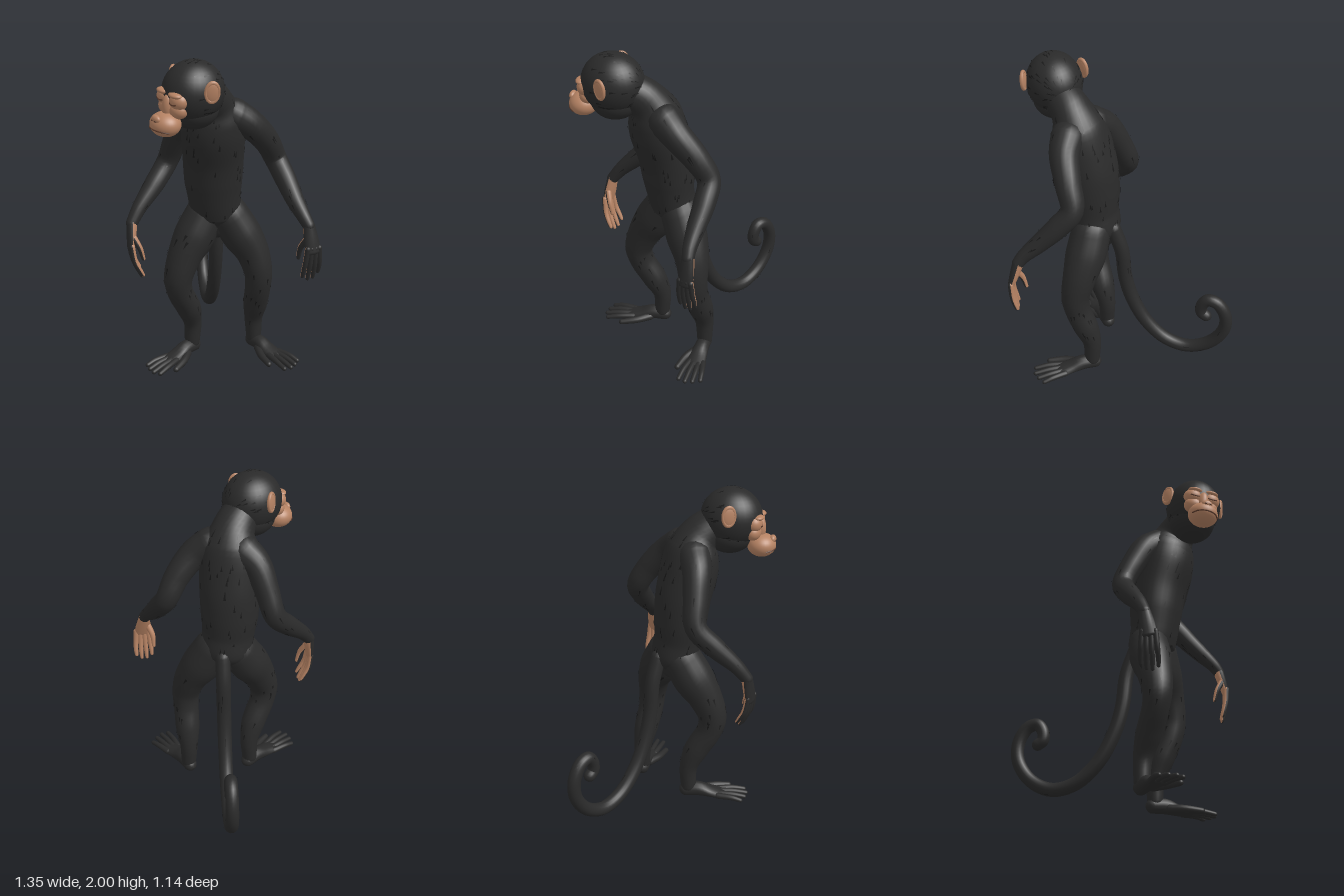
import * as THREE from 'three';

const mat = (name, color) => Object.assign(new THREE.MeshStandardMaterial({ color }), { name });
const fur = mat('black fur', 0x2a2a2a);
const tuftFur = mat('dark fur tufts', 0x191919);
tuftFur.side = THREE.DoubleSide;
const skin = mat('tan skin', 0xb58263);
const crease = mat('skin creases', 0x5a3a2b);

const V = (x, y, z) => new THREE.Vector3(x, y, z);
const FACING = V(0.6, 0, 0.8);
let seed = 7;
const rand = () => (seed = (seed * 16807) % 2147483647) / 2147483647;

// Round-ended tube through [x, y, z, a, b]; a is the half size along ref, b across it.
// With a palm material, the half facing ref takes that colour.
function sweep(name, pts, { ref = FACING, palm = null, sides = 18, steps = 5 } = {}) {
  const path = new THREE.CatmullRomCurve3(pts.map(p => V(p[0], p[1], p[2])));
  const size = new THREE.CatmullRomCurve3(pts.map(p => V(p[3], p[4] ?? p[3], 0)));
  const surface = (s, th, lift = 0, cap = 0) => {
    const t = path.getTangent(s), r = size.getPoint(s);
    const u = ref.clone().addScaledVector(t, -ref.dot(t)).normalize();
    const v = t.clone().cross(u), k = Math.max(Math.cos(cap), 0.02);
    return path.getPoint(s)
      .addScaledVector(u, (r.x + lift) * k * Math.cos(th))
      .addScaledVector(v, (r.y + lift) * k * Math.sin(th))
      .addScaledVector(t, Math.min(r.x, r.y) * Math.sin(cap));
  };
  const rings = [], n = (pts.length - 1) * steps;
  for (const c of [90, 65, 42, 20]) rings.push([0, -c * Math.PI / 180]);
  for (let i = 0; i <= n; i++) rings.push([i / n, 0]);
  for (const c of [20, 42, 65, 90]) rings.push([1, c * Math.PI / 180]);
  const pos = [], main = [], under = [];
  rings.forEach(([s, cap], i) => {
    for (let j = 0; j < sides; j++) {
      pos.push(...surface(s, j / sides * Math.PI * 2, 0, cap).toArray());
      if (i === rings.length - 1) continue;
      const a = i * sides + j, b = i * sides + (j + 1) % sides;
      const list = palm && Math.cos((j + 0.5) / sides * Math.PI * 2) > 0 ? under : main;
      list.push(a, b, b + sides, a, b + sides, a + sides);
    }
  });
  const g = new THREE.BufferGeometry();
  g.setAttribute('position', new THREE.Float32BufferAttribute(pos, 3));
  g.setIndex([...main, ...under]);
  g.addGroup(0, main.length, 0);
  if (palm) g.addGroup(main.length, under.length, 1);
  g.computeVertexNormals();
  const mesh = new THREE.Mesh(g, palm ? [fur, palm] : fur);
  mesh.name = name;
  return { mesh, surface };
}

// Thin tapering fur tufts scattered over a surface
function tufts(name, surface, count, ds, dth, from = 0.05, to = 0.9) {
  const pos = [];
  for (let i = 0; i < count; i++) {
    const s = from + rand() * (to - from - ds), th = rand() * Math.PI * 2;
    for (const [p, q] of [[s, th - dth], [s, th + dth], [s + ds, th + dth * 0.6]]) {
      pos.push(...surface(p, q, 0.004).toArray());
    }
  }
  const g = new THREE.BufferGeometry();
  g.setAttribute('position', new THREE.Float32BufferAttribute(pos, 3));
  g.computeVertexNormals();
  const mesh = new THREE.Mesh(g, tuftFur);
  mesh.name = name;
  return mesh;
}

function ellipsoid(name, m, center, radii) {
  const mesh = new THREE.Mesh(new THREE.SphereGeometry(1, 32, 22), m);
  mesh.name = name;
  mesh.position.set(...center);
  mesh.scale.set(...radii);
  return mesh;
}

function line(name, points, r = 0.004) {
  const curve = new THREE.CatmullRomCurve3(points);
  const mesh = new THREE.Mesh(new THREE.TubeGeometry(curve, 16, r, 6), crease);
  mesh.name = name;
  return mesh;
}

// Palm, four curled fingers and a thumb
function hand(name, wrist, knuckle, palmDir, spread, curl) {
  const group = new THREE.Group();
  group.name = name;
  const opts = { ref: palmDir, palm: skin, sides: 12, steps: 4 };
  const mid = wrist.clone().lerp(knuckle, 0.55);
  group.add(sweep('palm', [
    [...wrist.toArray(), 0.034, 0.037], [...mid.toArray(), 0.028, 0.048], [...knuckle.toArray(), 0.02, 0.05],
  ], opts).mesh);
  const at = (p, side, down, inward) =>
    p.clone().addScaledVector(spread, side).addScaledVector(palmDir, inward).add(V(0, -down, 0)).toArray();
  for (let i = 0; i < 4; i++) {
    const k = i - 1.5, len = [0.15, 0.18, 0.185, 0.165][i];
    group.add(sweep('finger', [
      [...at(knuckle, k * 0.025, -0.02, 0), 0.017], [...at(knuckle, k * 0.031, len * 0.45, curl * 0.25), 0.016],
      [...at(knuckle, k * 0.034, len * 0.8, curl * 0.7), 0.014], [...at(knuckle, k * 0.034, len, curl), 0.011],
    ], opts).mesh);
  }
  group.add(sweep('thumb', [
    [...at(mid, 0.03, 0, 0.01), 0.02], [...at(mid, 0.05, 0.06, 0.04), 0.017], [...at(mid, 0.05, 0.13, 0.06), 0.012],
  ], opts).mesh);
  return group;
}

// Flat foot with four toes and a splayed big toe
function foot(name, ankle, fwd, inner) {
  const group = new THREE.Group();
  group.name = name;
  const opts = { ref: V(0, -1, 0), sides: 14, steps: 4 };
  const at = (f, side, y) => [ankle.x + fwd.x * f + inner.x * side, y, ankle.z + fwd.z * f + inner.z * side];
  group.add(sweep('sole', [
    [...at(-0.015, 0, 0.05), 0.045, 0.044], [...at(0.06, 0, 0.055), 0.047, 0.046],
    [...at(0.14, 0, 0.038), 0.032, 0.055], [...at(0.22, -0.005, 0.026), 0.02, 0.06],
  ], opts).mesh);
  for (let i = 0; i < 4; i++) {
    const side = (i - 1.5) * 0.034 - 0.005, tip = [0.335, 0.36, 0.372, 0.36][i];
    group.add(sweep('toe', [
      [...at(0.19, side * 0.8, 0.03), 0.02], [...at(0.28, side * 1.15, 0.03), 0.017], [...at(tip, side * 1.3, 0.018), 0.014],
    ], opts).mesh);
  }
  group.add(sweep('bigToe', [
    [...at(0.08, 0.03, 0.035), 0.027], [...at(0.16, 0.075, 0.03), 0.023], [...at(0.26, 0.1, 0.02), 0.018],
  ], opts).mesh);
  return group;
}

function head() {
  const g = new THREE.Group();
  g.name = 'head';
  const R = [0.165, 0.18, 0.185];
  g.add(ellipsoid('cranium', fur, [0, 0, 0], R), ellipsoid('jaw', fur, [0, -0.1, -0.01], [0.138, 0.115, 0.145]));
  g.add(ellipsoid('muzzle', skin, [0, -0.155, 0.185], [0.092, 0.07, 0.086]));
  g.add(ellipsoid('noseBridge', skin, [0, -0.055, 0.175], [0.032, 0.07, 0.032]));
  g.add(ellipsoid('nose', skin, [0, -0.115, 0.25], [0.034, 0.024, 0.02]));
  for (const s of [-1, 1]) {
    g.add(ellipsoid('eyeSocket', skin, [s * 0.055, -0.015, 0.14], [0.06, 0.052, 0.052]));
    g.add(ellipsoid('cheek', skin, [s * 0.045, -0.07, 0.135], [0.062, 0.05, 0.05]));
    g.add(ellipsoid('brow', skin, [s * 0.052, 0.02, 0.165], [0.046, 0.017, 0.034]));
    g.add(ellipsoid('nostril', crease, [s * 0.014, -0.122, 0.267], [0.007, 0.005, 0.004]));
    // Closed eyelid
    g.add(line('eyelid', [-1, -0.5, 0, 0.5, 1].map(k =>
      V(s * 0.055 + k * 0.03, -0.03 + k * k * 0.007, 0.14 + 0.052 * Math.sqrt(1 - 0.25 * k * k - 0.07)))));
    // Ear with a raised rim
    const ear = new THREE.Group();
    ear.name = s > 0 ? 'leftEar' : 'rightEar';
    ear.add(ellipsoid('earShell', skin, [0, 0, 0], [0.014, 0.06, 0.042]));
    const rim = new THREE.Mesh(new THREE.TorusGeometry(0.046, 0.011, 8, 28), skin);
    rim.name = 'earRim';
    rim.rotation.y = Math.PI / 2;
    rim.scale.set(0.8, 1.15, 1);
    ear.add(rim);
    ear.position.set(s * 0.176, 0.045, 0.01);
    ear.rotation.y = -s * 0.5;
    g.add(ear);
  }
  // Mouth line wrapped round the muzzle
  g.add(line('mouth', [-1, -0.6, -0.3, 0, 0.3, 0.6, 1].map(k => {
    const a = k * 1.15;
    return V(Math.sin(a) * 0.089, -0.172 - 0.008 * k * k, 0.185 + Math.cos(a) * 0.083);
  }), 0.0045));
  // Swept-back hair
  const scalp = (s, th, lift) => V(Math.sin(s * Math.PI) * Math.cos(th) * (R[0] + lift),
    Math.sin(s * Math.PI) * Math.sin(th) * (R[1] + lift), Math.cos(s * Math.PI) * (R[2] + lift));
  g.add(tufts('hair', scalp, 80, 0.07, 0.035, 0.36, 0.95));
  g.position.set(0.18, 1.82, 0.3);
  g.rotation.set(0, -0.07, -0.08);
  return g;
}

export function createModel() {
  const model = new THREE.Group();
  model.name = 'monkey';
  const furry = (name, pts, count, opts) => {
    const part = sweep(name, pts, opts);
    model.add(part.mesh);
    if (count) model.add(tufts(name + 'Tufts', part.surface, count, 0.35 / pts.length, name === 'torso' ? 0.035 : 0.07));
  };

  furry('torso', [
    [0.03, 0.9, -0.02, 0.09, 0.11], [0.03, 0.97, -0.02, 0.135, 0.16], [0.04, 1.07, 0, 0.14, 0.16],
    [0.045, 1.2, 0.015, 0.155, 0.175], [0.06, 1.35, 0.03, 0.163, 0.183], [0.09, 1.5, 0.06, 0.168, 0.188],
    [0.11, 1.62, 0.08, 0.155, 0.178], [0.135, 1.71, 0.12, 0.12, 0.13], [0.17, 1.78, 0.21, 0.11, 0.11],
  ], 110, { sides: 32 });
  model.add(head());

  // Arms and hands
  furry('rightArm', [
    [0.02, 1.63, 0.1, 0.1], [-0.07, 1.57, 0.125, 0.086], [-0.16, 1.43, 0.13, 0.074], [-0.225, 1.28, 0.14, 0.066],
    [-0.222, 1.16, 0.25, 0.062], [-0.215, 1.04, 0.38, 0.045], [-0.21, 0.96, 0.445, 0.036],
  ], 22);
  furry('leftArm', [
    [0.2, 1.63, 0, 0.1], [0.25, 1.57, -0.08, 0.088], [0.27, 1.45, -0.2, 0.077], [0.275, 1.32, -0.28, 0.068],
    [0.36, 1.22, -0.275, 0.065], [0.47, 1.11, -0.25, 0.054], [0.56, 1.03, -0.235, 0.041], [0.595, 0.99, -0.235, 0.036],
  ], 22);
  model.add(hand('rightHand', V(-0.21, 0.96, 0.445), V(-0.195, 0.81, 0.47), V(0.45, 0, -0.89), V(0.89, 0, 0.45), 0.06));
  model.add(hand('leftHand', V(0.595, 0.99, -0.235), V(0.642, 0.84, -0.23), V(-0.93, 0, -0.36), V(-0.36, 0, 0.93), 0.03));

  // Legs and feet
  furry('rightLeg', [
    [-0.01, 0.97, 0.03, 0.12], [-0.025, 0.85, 0.1, 0.127], [-0.035, 0.72, 0.18, 0.106], [-0.04, 0.58, 0.23, 0.088],
    [-0.045, 0.48, 0.21, 0.08], [-0.055, 0.35, 0.135, 0.078], [-0.07, 0.22, 0.085, 0.057], [-0.075, 0.08, 0.085, 0.048],
  ], 30);
  furry('leftLeg', [
    [0.09, 0.97, -0.07, 0.12], [0.14, 0.85, -0.12, 0.125], [0.2, 0.72, -0.17, 0.105], [0.237, 0.58, -0.19, 0.087],
    [0.225, 0.47, -0.2, 0.08], [0.185, 0.35, -0.225, 0.078], [0.15, 0.22, -0.245, 0.058], [0.15, 0.08, -0.25, 0.048],
  ], 30);
  model.add(foot('rightFoot', V(-0.075, 0, 0.085), V(0.09, 0, 0.996), V(0.996, 0, -0.09)));
  model.add(foot('leftFoot', V(0.15, 0, -0.25), V(0.996, 0, 0.08), V(-0.08, 0, 0.996)));

  // Tail hanging down and curling up in one upright plane
  const tail = [
    [-0.04, 0.98], [-0.085, 0.82], [-0.105, 0.62], [-0.145, 0.45], [-0.22, 0.28], [-0.33, 0.155], [-0.45, 0.122],
    [-0.56, 0.185], [-0.63, 0.31], [-0.635, 0.43], [-0.59, 0.525], [-0.54, 0.54], [-0.51, 0.49], [-0.51, 0.435], [-0.535, 0.41],
  ];
  furry('tail', tail.map(([x, y], i) => [x, y, -0.08 + 0.7 * x, 0.046 - i * 0.0007]), 16, { ref: V(-0.573, 0, 0.819) });
  return model;
}
